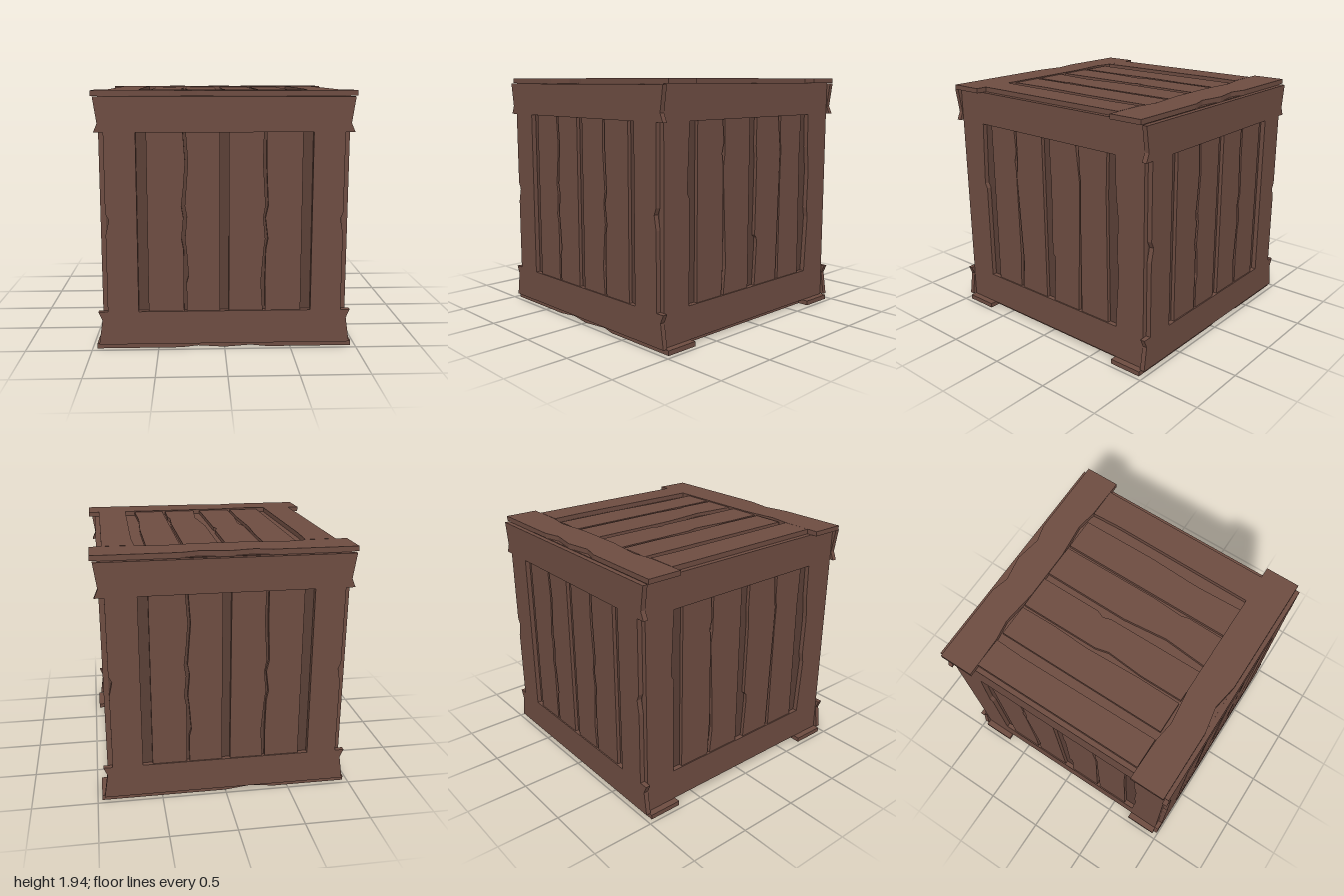
import * as THREE from 'three';

const wood = new THREE.MeshStandardMaterial({ color: 0x6d4c41, flatShading: true });
const darkWood = new THREE.MeshStandardMaterial({ color: 0x5a3f36, flatShading: true });

// Flat board in the xy plane, grown along +z. Nicks are [position along edge, offset].
function board(name, x0, x1, y0, y1, depth, nicks = {}) {
  const { left = [], right = [], bottom = [], top = [] } = nicks;
  const pts = [
    [x0, y0], ...bottom.map(([p, d]) => [p, y0 + d]),
    [x1, y0], ...right.map(([p, d]) => [p, x1 + d].reverse()),
    [x1, y1], ...top.map(([p, d]) => [p, y1 + d]).reverse(),
    [x0, y1], ...left.map(([p, d]) => [x0 + d, p]).reverse(),
  ];
  const shape = new THREE.Shape(pts.map(([x, y]) => new THREE.Vector2(x, y)));
  const mesh = new THREE.Mesh(new THREE.ExtrudeGeometry(shape, { depth, bevelEnabled: false }), wood);
  mesh.name = name;
  return mesh;
}

// Planks of one face: [x0, x1, left nicks, right nicks]; the outer two stand prouder.
function planks(list, half) {
  return list.map(([x0, x1, left, right], i) => {
    const outer = i === 0 || i === list.length - 1;
    return board('plank', x0, x1, -half, half, outer ? 0.038 : 0.028, { left, right });
  });
}

// Plank edges, measured from the middle of each face
const frontPlanks = [
  [-0.875, -0.645, [[-0.08, 0], [0.03, 0.025], [0.08, 0]], []],
  [-0.57, -0.305, [], [[-0.2, 0], [-0.12, -0.015], [0.04, 0], [0.13, -0.015], [0.25, 0], [0.45, 0.015]]],
  [-0.285, -0.035, [[-0.45, 0], [-0.4, 0.015], [-0.2, 0], [-0.12, -0.01], [0.05, 0.005], [0.13, -0.01], [0.45, 0.015]], []],
  [0.03, 0.285, [], [[-0.45, -0.015], [-0.2, 0.005], [-0.12, 0.015], [0.04, 0], [0.13, 0.015], [0.45, -0.005]]],
  [0.305, 0.57, [[-0.45, -0.005], [-0.2, 0], [-0.12, 0.015], [0.04, -0.005], [0.13, 0.015], [0.45, 0]], []],
  [0.645, 0.875, [], [[-0.08, 0], [0.03, -0.02], [0.08, 0]]],
];
const sidePlanks = [
  [-0.955, -0.705, [], [[0.12, 0], [0.16, -0.022], [0.45, -0.01]]],
  [-0.615, -0.35, [], [[-0.4, 0.015], [0.35, 0.005], [0.42, -0.005], [0.5, 0.015]]],
  [-0.325, -0.042, [[-0.45, 0.022], [-0.38, 0.02], [0.3, -0.015], [0.4, 0]], []],
  [0.043, 0.31, [[-0.33, 0.02], [-0.28, 0.015], [-0.26, -0.005], [0, 0], [0.35, 0.005], [0.45, -0.005]],
    [[0.2, 0.025], [0.4, 0.03]]],
  [0.34, 0.61, [[0.2, 0.005], [0.4, 0.012], [0.5, 0]], [[0.35, -0.01]]],
  [0.695, 0.955, [[-0.2, 0.03], [-0.12, 0.015], [0.2, 0.025], [0.4, 0.005]], []],
];
const topPlanks = [
  [-0.875, -0.64, [], [[0.45, -0.01]]],
  [-0.57, -0.32, [], [[-0.35, 0.005], [0.1, -0.01], [0.4, 0.005]]],
  [-0.295, -0.035, [[-0.35, 0], [-0.05, 0.025], [0.05, 0]], [[0.08, -0.005], [0.14, -0.025], [0.2, 0]]],
  [0.02, 0.28, [[-0.35, 0.03], [0, -0.005]], [[-0.4, 0.005], [-0.35, -0.01], [-0.1, 0.005]]],
  [0.305, 0.555, [], [[-0.35, -0.012], [-0.25, -0.01], [0.1, 0.005]]],
  [0.64, 0.875, [[0.45, 0.01]], []],
];

export function createModel() {
  const crate = new THREE.Group();
  crate.name = 'crate';
  const midY = 0.9675;

  // Inner box seen through the gaps
  const core = new THREE.Mesh(new THREE.BoxGeometry(1.75, 1.86, 1.91),
    [darkWood, darkWood, wood, wood, darkWood, darkWood]);
  core.name = 'innerBox';
  core.position.y = midY;
  crate.add(core);

  // Front and back: planks and rails with notched ends
  for (const turn of [0, Math.PI]) {
    const wall = new THREE.Group();
    wall.name = turn ? 'backWall' : 'frontWall';
    wall.add(...planks(frontPlanks, 0.67));
    for (const s of [-1, 1]) {
      const y0 = s > 0 ? 0.67 : -0.925, y1 = s > 0 ? 0.925 : -0.67;
      const notch = s * 0.735;
      wall.add(board('rail', -0.945, 0.945, y0, y1, 0.038,
        { left: [[notch, 0.028]], right: [[notch, -0.028]] }));
    }
    wall.children.forEach((m) => { m.position.z = 0.955; });
    wall.rotation.y = turn;
    wall.position.y = midY;
    crate.add(wall);
  }

  // Left and right: planks and straight rails
  for (const s of [-1, 1]) {
    const wall = new THREE.Group();
    wall.name = s > 0 ? 'leftWall' : 'rightWall';
    wall.add(...planks(sidePlanks, 0.67));
    wall.add(board('rail', -0.955, 0.955, 0.67, 0.93, 0.038));
    wall.add(board('rail', -0.955, 0.955, -0.93, -0.67, 0.038));
    wall.children.forEach((m) => { m.position.z = 0.875; });
    wall.rotation.y = s * Math.PI / 2;
    wall.position.y = midY;
    crate.add(wall);
  }

  // Lid and floor: planks and long rails with worn edges
  for (const s of [1, -1]) {
    const panel = new THREE.Group();
    panel.name = s > 0 ? 'lid' : 'floor';
    panel.add(...planks(topPlanks, 0.69));
    panel.add(board('rail', -0.965, 0.965, 0.69, 0.96, 0.0375, {
      bottom: [[-0.64, 0.005], [-0.48, 0.03], [-0.2, 0], [0.2, 0], [0.48, 0.03], [0.64, 0.005]],
      top: [[-0.33, 0], [-0.2, -0.035], [0, 0], [0.2, -0.035], [0.33, 0]],
    }));
    panel.add(board('rail', -0.965, 0.965, -0.96, -0.69, 0.0375, {
      bottom: [[-0.4, 0], [-0.2, 0.035], [0, 0]],
      top: [[-0.64, -0.005], [-0.48, -0.03], [-0.2, 0]],
    }));
    panel.children.forEach((m) => { m.position.z = 0.93; });
    panel.rotation.x = -s * Math.PI / 2;
    panel.position.y = midY;
    crate.add(panel);
  }
  return crate;
}
